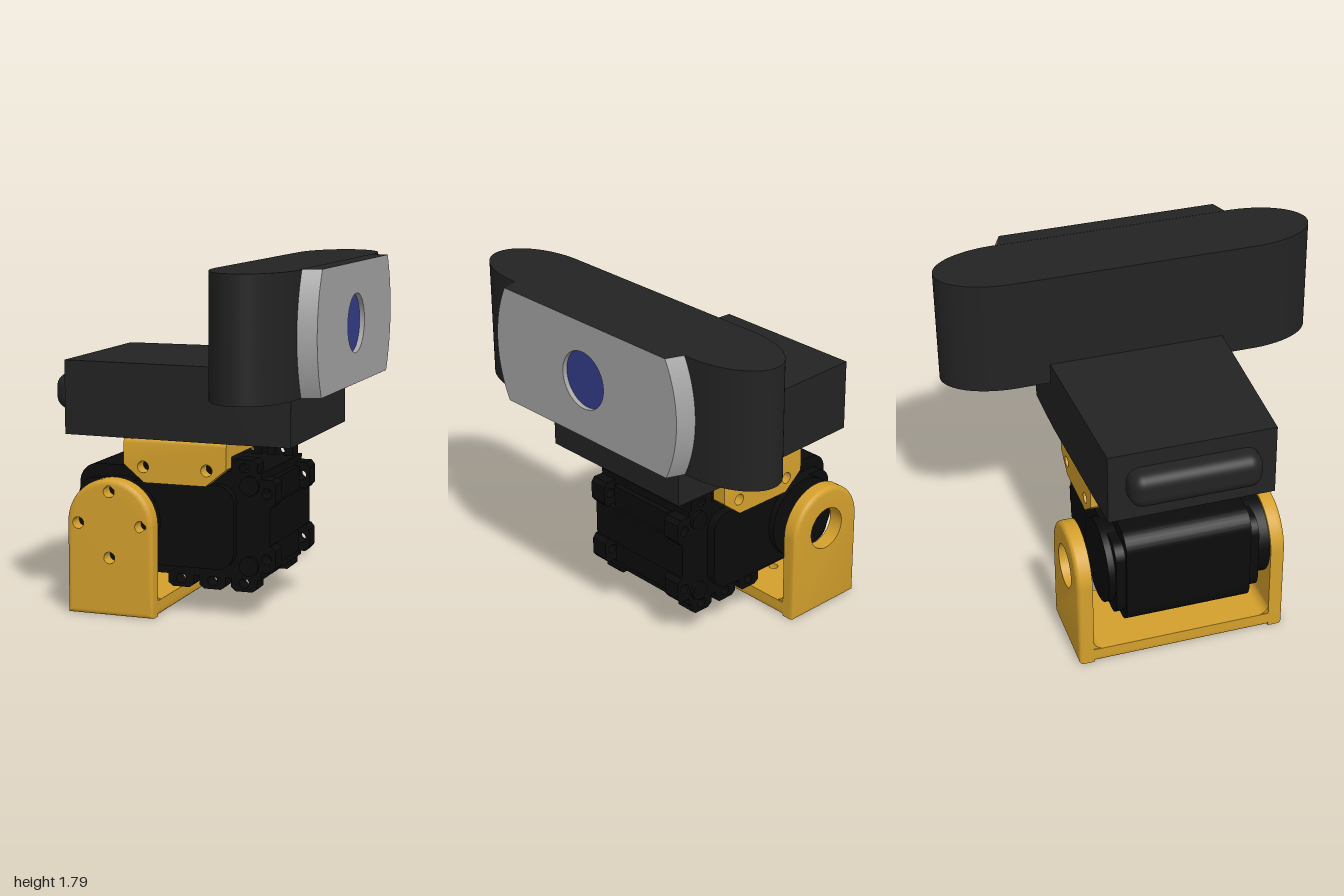
import * as THREE from 'three';
import { toCreasedNormals } from 'three/addons/utils/BufferGeometryUtils.js';
import { RoundedBoxGeometry } from 'three/addons/geometries/RoundedBoxGeometry.js';

const mat = (color) => new THREE.MeshStandardMaterial({ color });
const gold = mat(0xd4a02c), dark = mat(0x232323), black = mat(0x0b0b0b);
const grey = mat(0xa5a5a5), blue = mat(0x343d8a);

export function createModel() {
  const model = new THREE.Group();
  let parent = model;

  const group = (name) => {
    parent = new THREE.Group();
    parent.name = name;
    model.add(parent);
  };
  const add = (name, geo, material, x = 0, y = 0, z = 0) => {
    const mesh = new THREE.Mesh(geo, material);
    mesh.name = name;
    mesh.position.set(x, y, z);
    parent.add(mesh);
    return mesh;
  };
  // Box given by its limits
  const block = (name, material, x0, x1, y0, y1, z0, z1) =>
    add(name, new THREE.BoxGeometry(x1 - x0, y1 - y0, z1 - z0), material,
      (x0 + x1) / 2, (y0 + y1) / 2, (z0 + z1) / 2);
  const poly = (pts) => new THREE.Shape(pts.map(([x, y]) => new THREE.Vector2(x, y)));
  const hole = (shape, x, y, r) => {
    shape.holes.push(new THREE.Path().absarc(x, y, r, 0, Math.PI * 2, true));
    return shape;
  };
  const roundRect = (x0, x1, y0, y1, r) => {
    const s = new THREE.Shape();
    s.absarc(x1 - r, y1 - r, r, 0, Math.PI / 2);
    s.absarc(x0 + r, y1 - r, r, Math.PI / 2, Math.PI);
    s.absarc(x0 + r, y0 + r, r, Math.PI, Math.PI * 1.5);
    s.absarc(x1 - r, y0 + r, r, Math.PI * 1.5, Math.PI * 2);
    return s;
  };
  const extrude = (shape, depth, steps = 1) =>
    new THREE.ExtrudeGeometry(shape, { depth, steps, curveSegments: 32, bevelEnabled: false });
  const smooth = (geo) => toCreasedNormals(geo, 0.6);
  // Plate whose outer face (local z = depth) has rounded edges; move(v, inset) shifts the rim
  const plate = (shape, depth, move) => {
    const r = 0.025, geo = extrude(shape, depth, 16), p = geo.attributes.position;
    const v = new THREE.Vector3();
    for (let i = 0; i < p.count; i++) {
      v.fromBufferAttribute(p, i);
      const d = Math.min(r, Math.max(0, v.z - (depth - r)));
      move(v, r - Math.sqrt(r * r - d * d));
      p.setXYZ(i, v.x, v.y, v.z);
    }
    return smooth(geo);
  };

  // Outer U bracket
  group('outerBracket');
  const R = 0.2325, cx = -0.3725, axisY = 0.47, T = 0.08;
  const armShape = () => {
    const s = new THREE.Shape();
    s.moveTo(-R, 0);
    s.lineTo(R, 0);
    s.absarc(0, axisY, R, 0, Math.PI);
    s.closePath();
    return s;
  };
  const roundArm = (v, inset) => {
    const dy = Math.max(v.y - axisY, 0), len = Math.hypot(v.x, dy);
    const low = v.y < 0.001;
    if (len > R - 0.001) {
      v.x *= (R - inset) / R;
      if (dy > 0) v.y = axisY + dy * (R - inset) / R;
    }
    if (low) v.y += inset;
  };
  const frontArm = armShape();
  for (const [x, y] of [[0, 0.17], [0, -0.17], [0.17, 0], [-0.17, 0]]) hole(frontArm, x, axisY + y, 0.03);
  add('frontArm', plate(frontArm, T, roundArm), gold, cx, 0, 0.445);
  add('backArm', plate(hole(armShape(), 0, axisY, 0.115), T, roundArm).rotateY(Math.PI), gold, cx, 0, -0.505);
  const base = poly([[-R, -0.475], [R, -0.475], [R, 0.475], [-R, 0.475]]);
  hole(base, 0, -0.18, 0.025);
  hole(base, 0, 0.18, 0.025);
  add('base', plate(base, T, (v, inset) => {
    if (Math.abs(v.x) > R - 0.001) v.x -= Math.sign(v.x) * inset;
  }).rotateX(Math.PI / 2), gold, cx, T, -0.03);
  // Inner corner fillets
  for (const side of [1, -1]) {
    const f = new THREE.Shape();
    f.moveTo(0, 0);
    f.lineTo(0.05, 0);
    f.absarc(0.05, 0.05, 0.05, Math.PI * 1.5, Math.PI, true);
    f.closePath();
    const geo = smooth(extrude(f, 2 * R - 0.01).translate(0, 0, -R + 0.005).rotateY(side * Math.PI / 2));
    add('fillet', geo, gold, cx, T, side > 0 ? 0.445 : -0.505);
  }

  // Inner bracket that carries the camera
  group('innerBracket');
  const bx = -0.055;
  for (const side of [1, -1]) {
    const s = poly([[-0.165, 0.68], [0.165, 0.68], [0.275, 0.77], [0.275, 0.905], [-0.275, 0.905], [-0.275, 0.77]]);
    hole(s, -0.17, 0.76, 0.03);
    hole(s, 0.17, 0.76, 0.03);
    const geo = plate(s, T, (v, inset) => { if (v.y > 0.904) v.y -= inset; });
    if (side < 0) geo.rotateY(Math.PI);
    add('sidePlate', geo, gold, bx, 0, side * 0.35);
  }
  block('topPlate', gold, bx - 0.275, bx + 0.275, 0.825, 0.905, -0.35, 0.35);

  // Servo
  group('servo');
  add('body', smooth(extrude(roundRect(-0.615, 0.3, 0.2, 0.745, 0.1), 0.66)), black, 0, 0, -0.33);
  block('bodyEnd', black, 0.18, 0.37, 0.2, 0.745, -0.33, 0.33);
  block('endRib', black, 0.36, 0.415, 0.375, 0.58, -0.33, 0.33);
  block('endPanel', black, 0.36, 0.4, 0.25, 0.7, -0.2, 0.2);
  for (const side of [1, -1]) {
    add('cap', smooth(extrude(roundRect(-0.6, 0.24, 0.25, 0.68, 0.09), 0.06)), black,
      0, 0, side > 0 ? 0.32 : -0.38);
    const horn = new THREE.CylinderGeometry(0.22, 0.22, 0.11, 48).rotateX(Math.PI / 2);
    add('horn', horn, black, cx, axisY, side > 0 ? 0.39 : -0.36);
    for (const y of [0.27, 0.68]) {
      const screw = new THREE.CylinderGeometry(0.05, 0.05, 0.03, 24).rotateX(Math.PI / 2);
      add('screw', screw, black, 0.31, y, side * 0.335);
    }
    // Mounting tabs around the edges
    const tab = (x, y, angle) => {
      const s = hole(poly([[-0.07, -0.05], [0.07, -0.05], [0.07, 0.025], [0.045, 0.045], [-0.045, 0.045], [-0.07, 0.025]]), 0, 0, 0.026);
      const geo = smooth(extrude(s, 0.1).translate(0, 0, -0.05).rotateZ(angle));
      add('mountingTab', geo, black, x, y, side * 0.28);
    };
    for (const x of [-0.06, 0.11, 0.28]) tab(x, 0.18, Math.PI);
    for (const x of [-0.225, -0.06, 0.11, 0.28]) tab(x, 0.765, 0);
    for (const y of [0.31, 0.645]) tab(0.4, y, -Math.PI / 2);
  }

  // Camera mount
  group('cameraMount');
  const mount = poly([[-0.65, -0.433], [0.25, -0.467], [0.565, -0.467], [0.565, 0.467], [0.25, 0.467], [-0.65, 0.433]]);
  add('mountBlock', smooth(extrude(mount, 0.38).rotateX(-Math.PI / 2)), dark, 0, 0.905, 0);
  add('rearKnob', new RoundedBoxGeometry(0.2, 0.19, 0.68, 6, 0.07), dark, -0.66, 1.105, 0);

  // Camera
  group('camera');
  const y0 = 1.175, H = 0.61;
  const housing = new THREE.Shape();
  housing.absellipse(0.455, 0.64, 0.21, 0.36, 0, Math.PI);
  housing.absellipse(0.455, -0.64, 0.21, 0.36, Math.PI, Math.PI * 2);
  add('housing', smooth(extrude(housing, H).rotateX(-Math.PI / 2)), dark, 0, y0, 0);

  // Face plate: a disc cut flat above and below, tapering to the front
  const r0 = 0.69, r1 = 0.66, h = H / 2, a = Math.asin(h / r0);
  const face = new THREE.Shape();
  face.absarc(0, 0, r0, -a, a);
  face.absarc(0, 0, r0, Math.PI - a, Math.PI + a);
  const plateGeo = extrude(hole(face, 0, 0, 0.15), 0.09);
  const p = plateGeo.attributes.position;
  for (let i = 0; i < p.count; i++) {
    const x = p.getX(i), y = p.getY(i);
    if (p.getZ(i) > 0.08 && Math.hypot(x, y) > 0.6) p.setX(i, Math.sign(x) * Math.sqrt(r1 * r1 - y * y));
  }
  add('facePlate', smooth(plateGeo.rotateY(Math.PI / 2)), grey, 0.665, y0 + h, 0);
  add('lens', new THREE.CylinderGeometry(0.152, 0.152, 0.06, 48).rotateZ(Math.PI / 2), blue, 0.7, y0 + h, 0);

  // Dark skins on the flat edges of the face plate
  for (const y of [y0 - 0.001, y0 + H - 0.003]) {
    const s = poly([[0.66, -0.618], [0.754, -0.584], [0.754, 0.584], [0.66, 0.618]]);
    add('faceEdge', extrude(s, 0.004).rotateX(-Math.PI / 2), dark, 0, y, 0);
  }
  return model;
}
